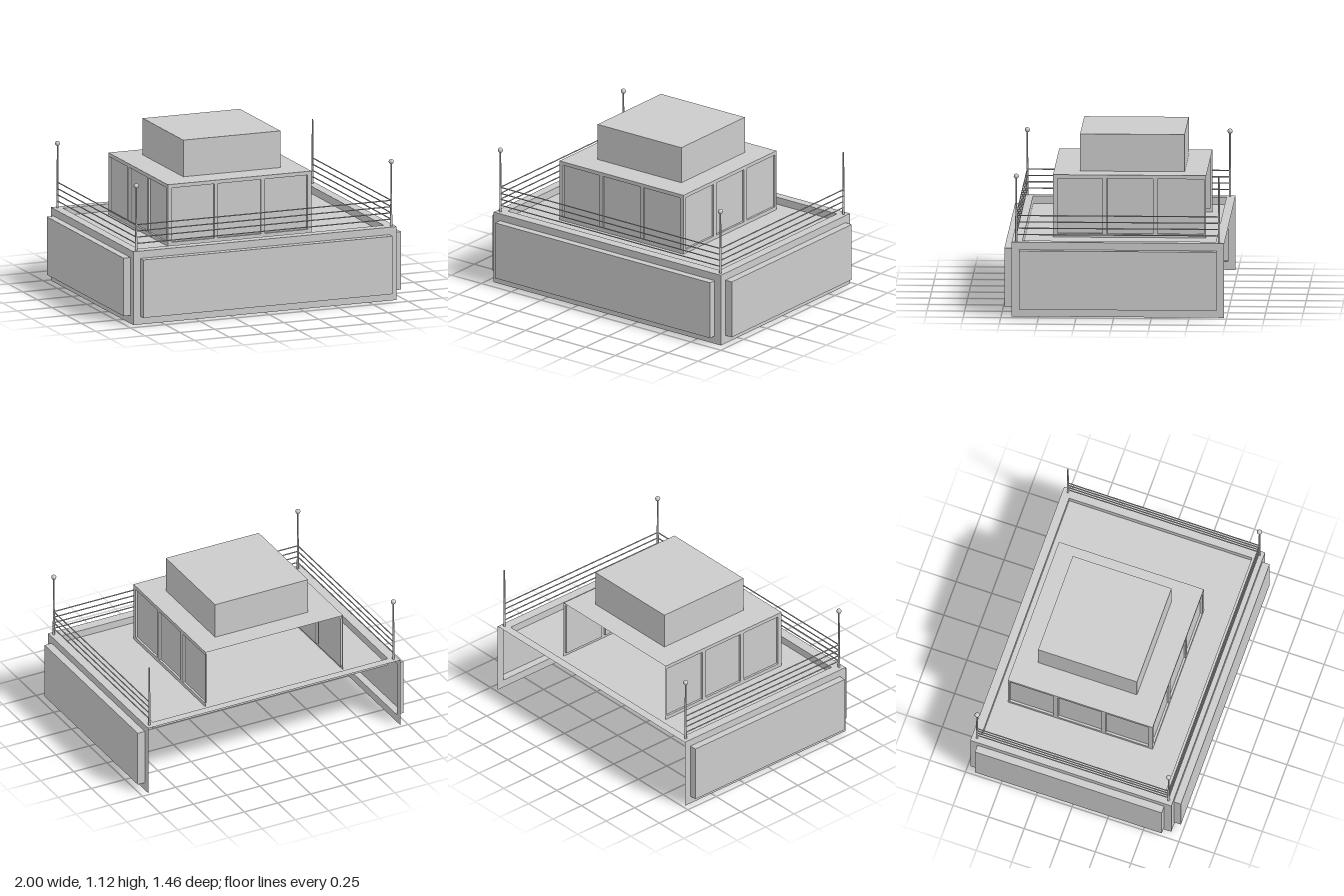
import * as THREE from 'three';
import { mergeGeometries } from 'three/addons/utils/BufferGeometryUtils.js';

const material = new THREE.MeshStandardMaterial({ color: 0xcccccc, side: THREE.DoubleSide });

// Thin sheet in XY facing +z whose rectangular panels are pushed out (depth > 0) or in (depth < 0).
// Rectangles are [u0, v0, u1, v1].
function panelledSheet([u0, v0, u1, v1], panels, depth) {
  const shape = new THREE.Shape()
    .moveTo(u0, v0).lineTo(u1, v0).lineTo(u1, v1).lineTo(u0, v1).closePath();
  const parts = [];
  const quarter = Math.PI / 2 * Math.sign(depth);
  const size = Math.abs(depth);
  for (const [a, b, c, d] of panels) {
    shape.holes.push(new THREE.Path().moveTo(a, b).lineTo(a, d).lineTo(c, d).lineTo(c, b).closePath());
    const w = c - a, h = d - b, x = (a + c) / 2, y = (b + d) / 2;
    parts.push(
      new THREE.PlaneGeometry(w, h).translate(x, y, depth),
      new THREE.PlaneGeometry(w, size).rotateX(-quarter).translate(x, d, depth / 2),
      new THREE.PlaneGeometry(w, size).rotateX(quarter).translate(x, b, depth / 2),
      new THREE.PlaneGeometry(size, h).rotateY(quarter).translate(c, y, depth / 2),
      new THREE.PlaneGeometry(size, h).rotateY(-quarter).translate(a, y, depth / 2),
    );
  }
  return mergeGeometries([new THREE.ShapeGeometry(shape), ...parts]);
}

export function createModel() {
  const model = new THREE.Group();
  const add = (name, geometry, parent = model) => {
    const mesh = new THREE.Mesh(geometry, material);
    mesh.name = name;
    parent.add(mesh);
    return mesh;
  };
  const group = (name) => {
    const g = new THREE.Group();
    g.name = name;
    model.add(g);
    return g;
  };
  const H = Math.PI / 2;

  // Base: three walls with raised panels, open at the back and below
  const base = group('base');
  add('baseFrontWall', panelledSheet([-0.95, 0, 0.947, 0.5], [[-0.9, 0.055, 0.895, 0.45]], 0.05)
    .translate(0, 0, 0.68), base);
  add('baseLeftWall', panelledSheet([-0.68, 0, 0.733, 0.5], [[-0.63, 0.055, 0.683, 0.45]], 0.053)
    .rotateY(H).translate(0.947, 0, 0), base);
  add('baseRightWall', panelledSheet([-0.733, 0, 0.68, 0.5], [[-0.683, 0.055, 0.63, 0.45]], 0.05)
    .rotateY(-H).translate(-0.95, 0, 0), base);

  // Deck: a rim around a sunken floor
  add('deck', panelledSheet([-0.95, -0.68, 0.947, 0.733], [[-0.887, -0.61, 0.882, 0.675]], -0.05)
    .rotateX(-H).translate(0, 0.5, 0), base);

  // Cabin: three walls of recessed windows, open at the back
  const cabin = group('cabin');
  const floor = 0.45, roof = 0.87, low = 0.475, high = 0.845, recess = -0.015;
  const xWindows = [[-0.565, -0.26], [-0.233, 0.078], [0.105, 0.41]];
  const zWindows = [[-0.58, -0.27], [-0.24, 0.065], [0.095, 0.395]];
  add('cabinFrontWall', panelledSheet([-0.595, floor, 0.44, roof],
    xWindows.map(([a, b]) => [a, low, b, high]), recess).translate(0, 0, 0.425), cabin);
  add('cabinLeftWall', panelledSheet([-0.425, floor, 0.593, roof],
    zWindows.map(([a, b]) => [-b, low, -a, high]), recess).rotateY(H).translate(0.44, 0, 0), cabin);
  add('cabinRightWall', panelledSheet([-0.593, floor, 0.425, roof],
    zWindows.map(([a, b]) => [a, low, b, high]), recess).rotateY(-H).translate(-0.595, 0, 0), cabin);
  add('cabinRoof', new THREE.PlaneGeometry(1.035, 1.018).rotateX(-H).translate(-0.0775, roof, -0.084), cabin);
  add('roofBlock', new THREE.BoxGeometry(0.7, 0.25, 0.695).translate(-0.06, 0.995, -0.0965), cabin);

  // Railing: corner posts, knobs on all but the back left one, and four rails on three sides
  const railing = group('railing');
  const left = 0.92, right = -0.917, front = 0.65, back = -0.697;
  for (const [x, z, knob] of [[left, front, true], [right, front, true], [right, back, true], [left, back, false]]) {
    add('post', new THREE.CylinderGeometry(0.005, 0.008, 0.45, 8).translate(x, 0.715, z), railing);
    if (knob) add('postKnob', new THREE.SphereGeometry(0.017, 16, 12).translate(x, 0.94, z), railing);
  }
  const rail = (length) => new THREE.CylinderGeometry(0.004, 0.004, length, 8);
  for (const y of [0.547, 0.59, 0.632, 0.675]) {
    add('frontRail', rail(left - right).rotateZ(H).translate((left + right) / 2, y, front), railing);
    for (const x of [left, right]) {
      add('sideRail', rail(front - back).rotateX(H).translate(x, y, (front + back) / 2), railing);
    }
  }
  return model;
}
